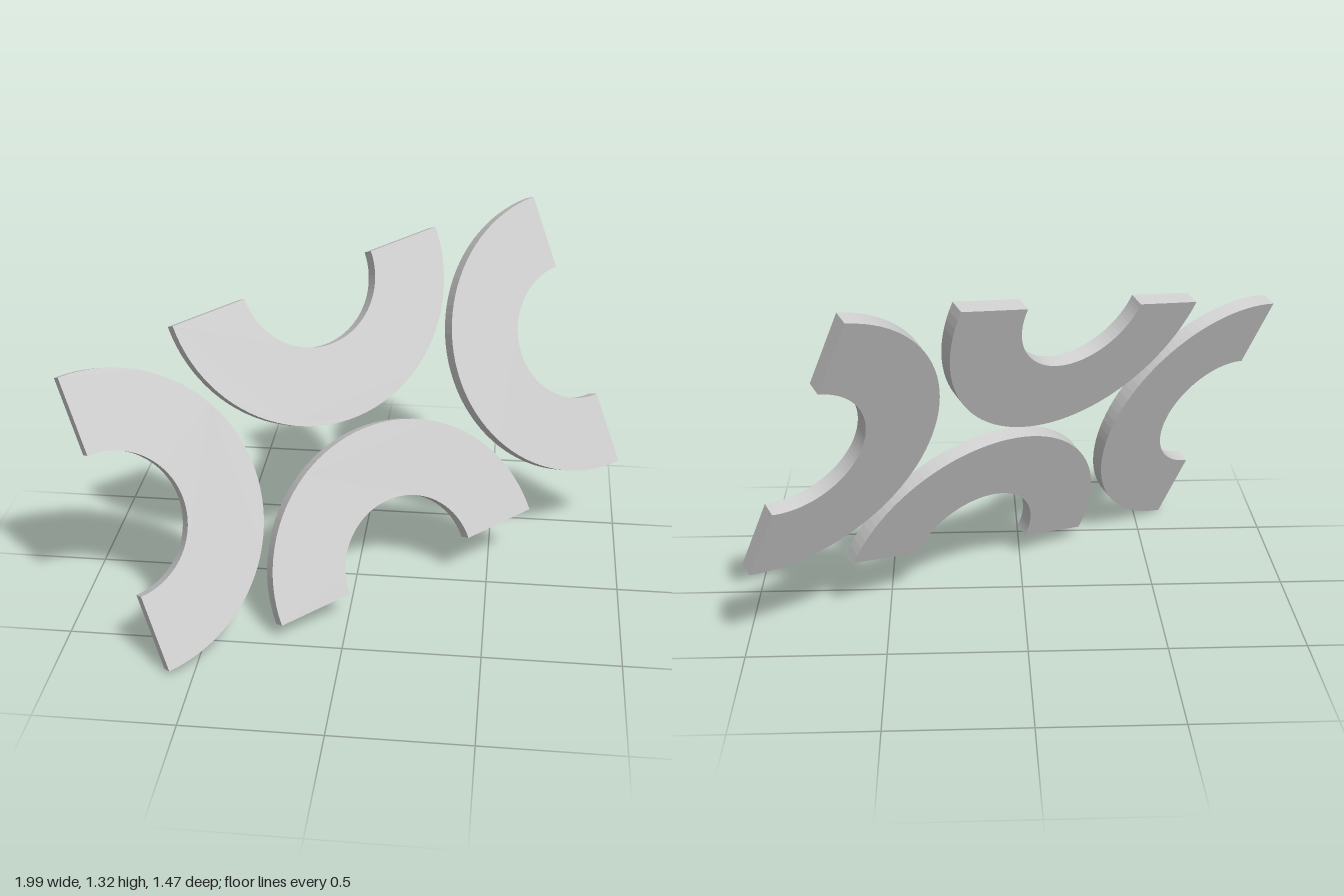
import * as THREE from 'three';

const OUTER = 0.549, INNER = 0.264, THICK = 0.057;

// Flat half ring, bulging up and open below, centred in its thickness
function halfRingGeometry() {
  const shape = new THREE.Shape();
  shape.absarc(0, 0, OUTER, 0, Math.PI, false);
  shape.absarc(0, 0, INNER, Math.PI, 0, true);
  shape.closePath();
  const geometry = new THREE.ExtrudeGeometry(shape, {
    depth: THICK, bevelEnabled: false, curveSegments: 24,
  });
  return geometry.translate(0, 0, -THICK / 2);
}

export function createModel() {
  const model = new THREE.Group();
  model.name = 'halfRingPattern';
  const material = new THREE.MeshStandardMaterial({ color: 0xcccccc, flatShading: true });
  const geometry = halfRingGeometry();

  // Four half rings around the middle, backs turned to the centre
  const rings = [
    ['bottomArch', 0, -0.574, 0],
    ['rightArch', 0.992, 0, Math.PI / 2],
    ['topArch', 0, 0.574, Math.PI],
    ['leftArch', -0.992, 0, -Math.PI / 2],
  ];
  const pattern = new THREE.Group();
  pattern.name = 'tiltedPattern';
  for (const [name, x, y, turn] of rings) {
    const ring = new THREE.Mesh(geometry, material);
    ring.name = name;
    ring.position.set(x, y, 0);
    ring.rotation.z = turn;
    pattern.add(ring);
  }

  // Tilt the whole plane: u runs along its width, n is its facing direction
  const u = new THREE.Vector3(0.795, 0.155, -0.586).normalize();
  const n = u.clone().cross(new THREE.Vector3(-0.356, 0.904, -0.237)).normalize();
  const w = n.clone().cross(u);
  pattern.quaternion.setFromRotationMatrix(new THREE.Matrix4().makeBasis(u, w, n));
  pattern.position.y = 0.664;
  model.add(pattern);
  return model;
}
